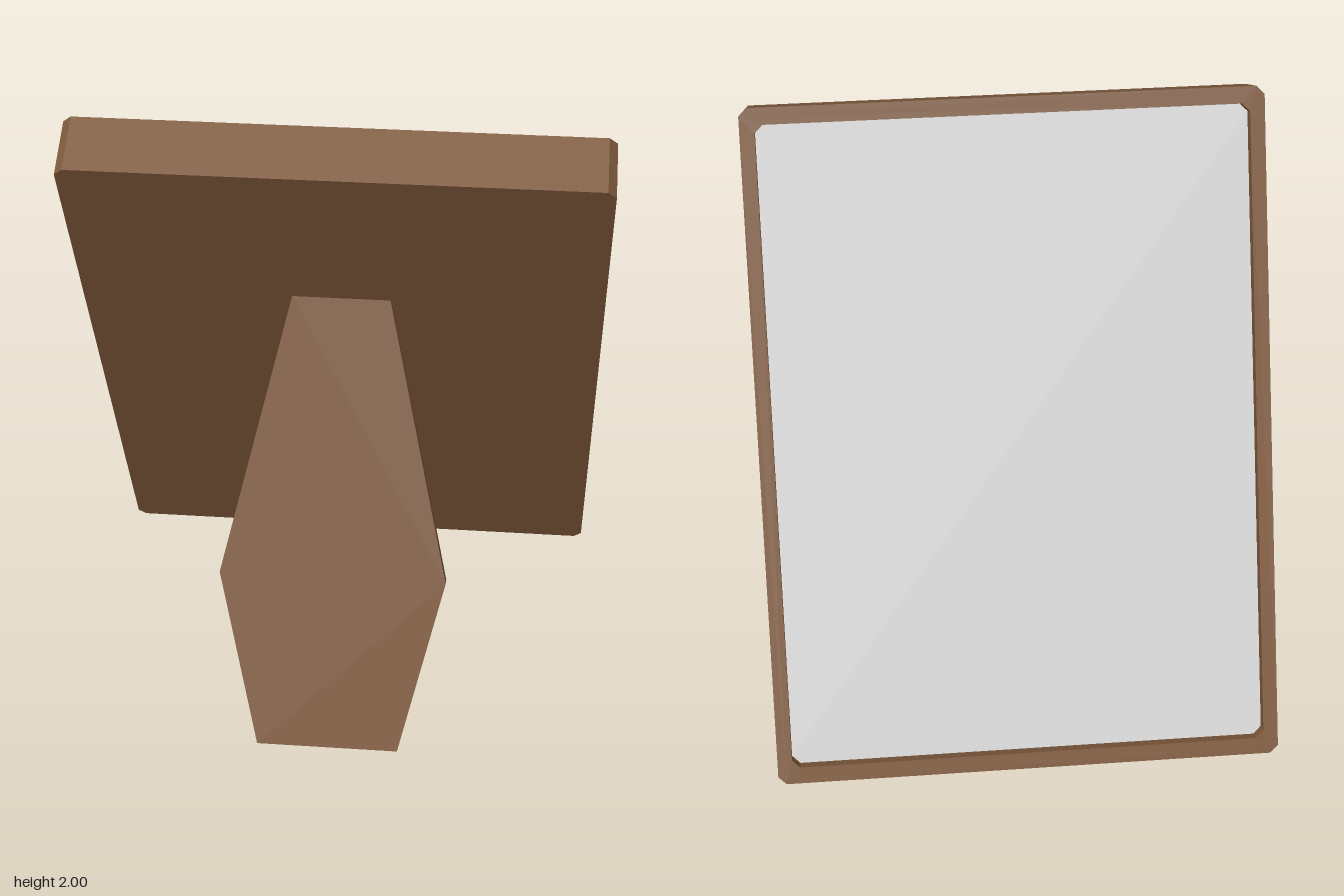
import * as THREE from 'three';

const deg = THREE.MathUtils.degToRad;

// Closed polygon from a list of [x, y] corners
const polygon = (pts, Type = THREE.Shape) => new Type(pts.map(([x, y]) => new THREE.Vector2(x, y)));

// Corners of an upright rectangle with cut-off corners
const chamferedRect = (w, y0, y1, c) => [
  [-w + c, y0], [w - c, y0], [w, y0 + c], [w, y1 - c],
  [w - c, y1], [-w + c, y1], [-w, y1 - c], [-w, y0 + c],
];

// Extruded slab reaching from z = back to z = front
function slab(name, shape, back, front, material) {
  const geometry = new THREE.ExtrudeGeometry(shape, { depth: front - back, bevelEnabled: false });
  geometry.translate(0, 0, back);
  const mesh = new THREE.Mesh(geometry, material);
  mesh.name = name;
  return mesh;
}

export function createModel() {
  const wood = new THREE.MeshStandardMaterial({ color: 0x7d583b });
  wood.name = 'brown wood';
  const paper = new THREE.MeshStandardMaterial({ color: 0xd4d4d4 });
  paper.name = 'pale grey picture';

  const model = new THREE.Group();
  model.name = 'pictureFrame';

  const W = 0.8, H = 2.125, DEPTH = 0.19, RECESS = 0.05, CUT = 0.025;

  // Leaning frame; its picture side looks towards local -z
  const frame = new THREE.Group();
  frame.name = 'frame';
  frame.position.set(0, 0.01, -0.51);
  frame.rotation.x = deg(26.3);
  model.add(frame);

  const outline = () => polygon(chamferedRect(W, 0, H, CUT));
  const rimShape = outline();
  rimShape.holes.push(polygon(chamferedRect(W - 0.046, 0.052, H - 0.052, CUT), THREE.Path));
  frame.add(slab('frameRim', rimShape, -DEPTH, -DEPTH + RECESS, wood));
  frame.add(slab('frameBack', outline(), -DEPTH + RECESS, 0, wood));

  // Thin picture sheet at the bottom of the recess
  const sheet = polygon(chamferedRect(W - 0.046, 0.052, H - 0.052, CUT));
  frame.add(slab('picture', sheet, -DEPTH + RECESS - 0.004, -DEPTH + RECESS, paper));

  // Easel leg, widest near its lower third
  const leg = slab('easelLeg', polygon([
    [-0.223, 0], [0.223, 0], [0.355, 0.561], [0.15, 1.452], [-0.15, 1.452], [-0.355, 0.561],
  ]), -0.047, 0, wood);
  leg.position.set(0, 0.017, 0.685);
  leg.rotation.x = deg(-21.2);
  model.add(leg);

  return model;
}
